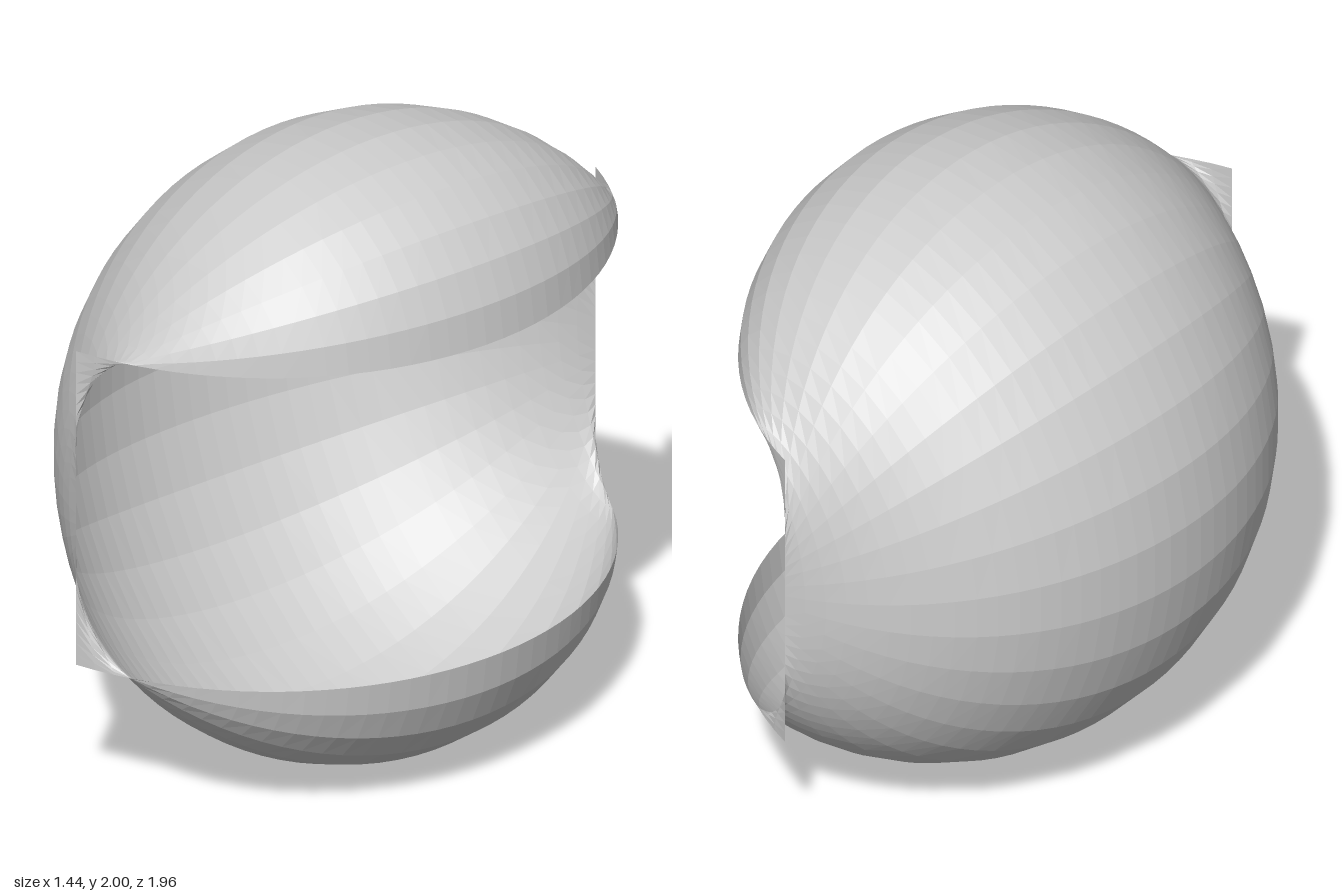
import * as THREE from 'three';
import { ParametricGeometry } from 'three/addons/geometries/ParametricGeometry.js';

const HALF_LENGTH = 0.98; // half the chord of the arc, along z
const BULGE = 0.72;       // height of the arc above its chord
const RISE = 1.04;        // vertical travel of the chord over one turn

// Circle through both chord ends and the crown of the arc
const RADIUS = (HALF_LENGTH ** 2 + BULGE ** 2) / (2 * BULGE);
const HALF_ANGLE = Math.atan2(HALF_LENGTH, RADIUS - BULGE);

// A circular arc makes one full turn about its chord while the chord sinks
function screwSweep(u, v, target) {
  const turn = u * Math.PI * 2;
  const angle = (v * 2 - 1) * HALF_ANGLE;
  const reach = RADIUS * Math.cos(angle) - (RADIUS - BULGE);
  target.set(
    reach * Math.cos(turn),
    1 + RISE * (0.5 - u) + reach * Math.sin(turn),
    RADIUS * Math.sin(angle)
  );
}

export function createModel() {
  const group = new THREE.Group();
  group.name = 'sweptShell';

  // Open faceted shell
  const geometry = new ParametricGeometry(screwSweep, 29, 40).toNonIndexed();
  geometry.computeVertexNormals();
  const material = new THREE.MeshStandardMaterial({
    color: 0xcccccc,
    flatShading: true,
    side: THREE.DoubleSide,
  });
  const shell = new THREE.Mesh(geometry, material);
  shell.name = 'shell';
  group.add(shell);
  return group;
}
